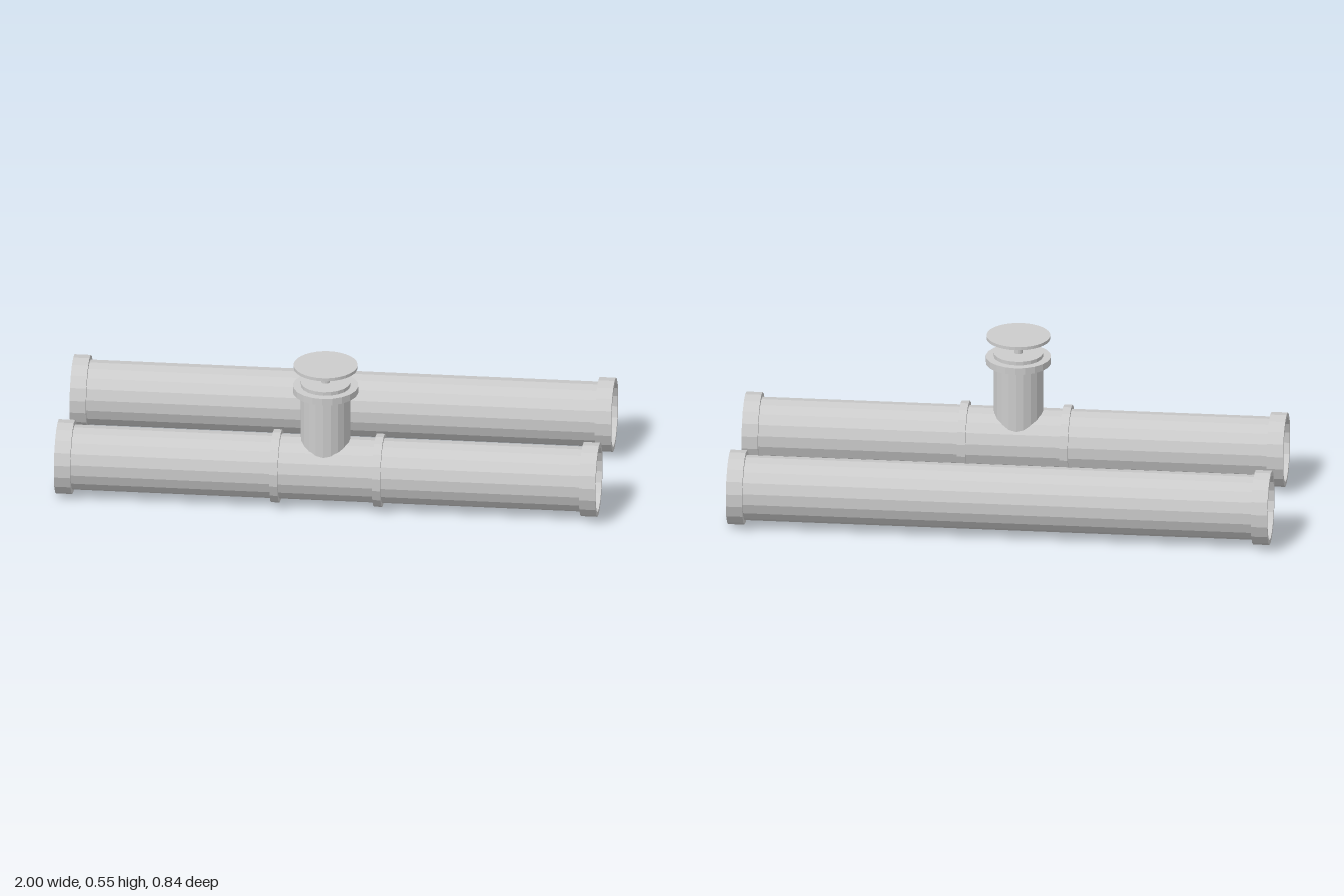
import * as THREE from 'three';

const material = new THREE.MeshStandardMaterial({ color: 0xcccccc, flatShading: true });

function addMesh(parent, name, geometry, x = 0, y = 0, z = 0) {
  const mesh = new THREE.Mesh(geometry, material);
  mesh.name = name;
  mesh.position.set(x, y, z);
  parent.add(mesh);
  return mesh;
}

// Hollow sleeve along x, closed all round, with a vertex at its top and bottom
function sleeve(outer, inner, length) {
  const h = length / 2;
  const profile = [[inner, -h], [outer, -h], [outer, h], [inner, h], [inner, -h]]
    .map(([r, y]) => new THREE.Vector2(r, y));
  return new THREE.LatheGeometry(profile, 18, Math.PI / 2).rotateZ(-Math.PI / 2);
}

// Pipe with a collar at each end and the bore left open
function makePipe(name, z) {
  const pipe = new THREE.Group();
  pipe.name = name;
  pipe.position.set(0, 0.14, z);
  addMesh(pipe, 'pipeTube', sleeve(0.12, 0.112, 1.94));
  for (const side of [-1, 1]) {
    addMesh(pipe, side > 0 ? 'leftEndCollar' : 'rightEndCollar', sleeve(0.137, 0.119, 0.06), side * 0.97);
  }
  return pipe;
}

// Upright disc or column between two heights
function addColumn(parent, name, radius, bottom, top, sides = 20) {
  addMesh(parent, name, new THREE.CylinderGeometry(radius, radius, top - bottom, sides), 0, (bottom + top) / 2, 0);
}

export function createModel() {
  const model = new THREE.Group();
  model.name = 'pipes';

  model.add(makePipe('backPipe', -0.283));
  const front = makePipe('frontPipe', 0.283);
  model.add(front);

  // Joint bands on either side of the valve
  for (const side of [-1, 1]) {
    addMesh(front, side > 0 ? 'leftJointBand' : 'rightJointBand', sleeve(0.135, 0.119, 0.03), side * 0.19);
  }

  // Valve rising from the front pipe
  const valve = new THREE.Group();
  valve.name = 'valve';
  valve.position.set(-0.01, 0, 0.278);
  addColumn(valve, 'valveBody', 0.092, 0.19, 0.487);
  addColumn(valve, 'valveFlange', 0.121, 0.447, 0.473);
  addColumn(valve, 'valveStem', 0.017, 0.487, 0.546, 12);
  addColumn(valve, 'valveWheel', 0.118, 0.544, 0.556, 32);
  model.add(valve);

  return model;
}
